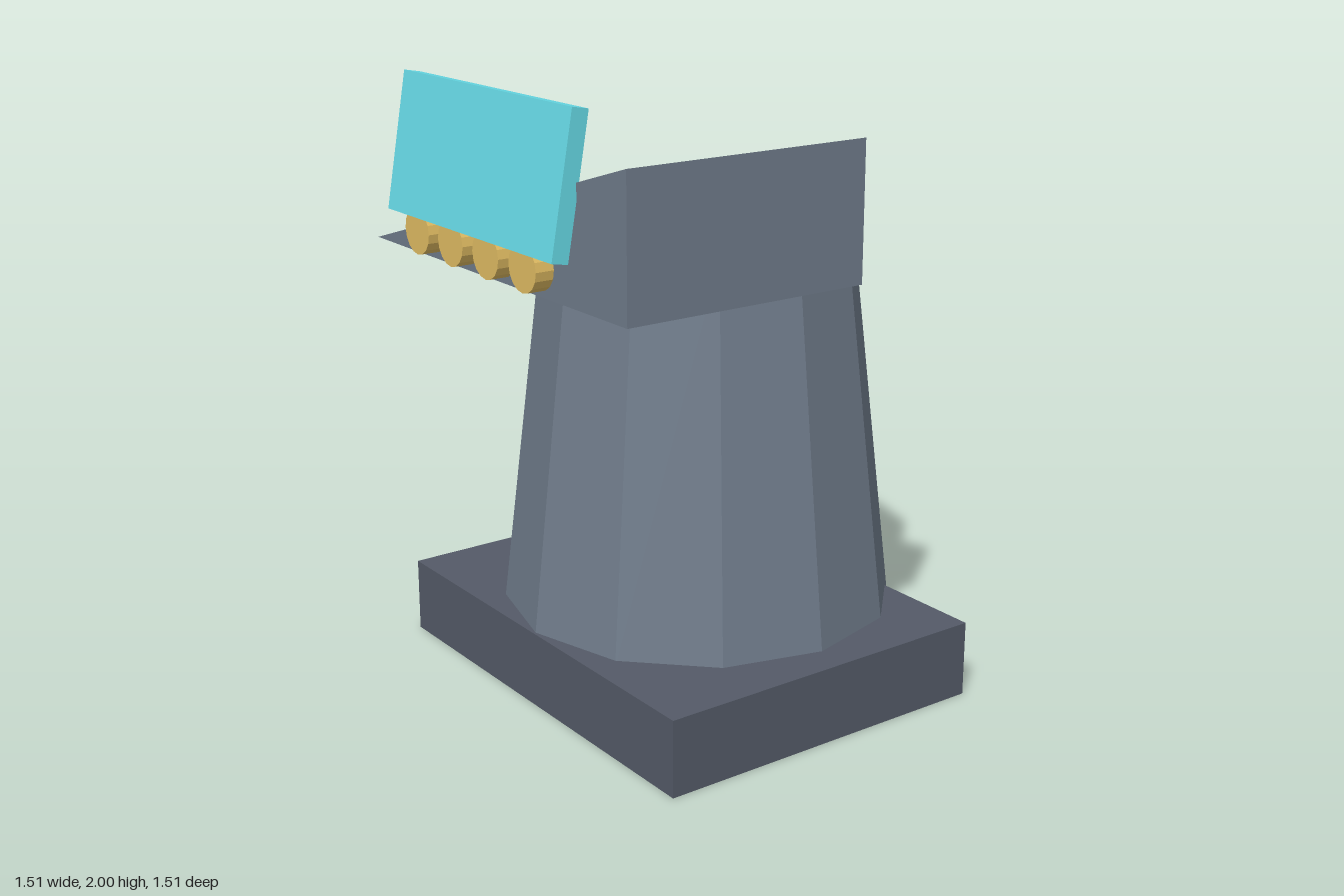
import * as THREE from 'three';

const paint = (color) => new THREE.MeshStandardMaterial({ color, flatShading: true });

export function createModel() {
  const model = new THREE.Group();
  model.name = 'tower';
  const darkGrey = paint(0x545a67);
  const slate = paint(0x6f7b8a);
  const cyan = paint(0x66d9e5);
  const gold = paint(0xe0bc62);

  const add = (name, geometry, material, x, y, z, parent = model) => {
    const mesh = new THREE.Mesh(geometry, material);
    mesh.name = name;
    mesh.position.set(x, y, z);
    parent.add(mesh);
    return mesh;
  };

  // Square plinth
  add('base', new THREE.BoxGeometry(1.51, 0.25, 1.17), darkGrey, 0, 0.125, -0.035);

  // Twelve-sided tapering shaft, overhanging the plinth at the back
  add('shaft', new THREE.CylinderGeometry(0.5, 0.65, 1.28, 12), slate, 0, 0.86, -0.105);

  // Sloping wedge roof, rising towards +x
  const profile = new THREE.Shape([
    new THREE.Vector2(-0.71, 0),
    new THREE.Vector2(0.71, 0),
    new THREE.Vector2(0.71, 0.435),
  ]);
  const wedge = new THREE.ExtrudeGeometry(profile, { depth: 0.84, bevelEnabled: false });
  add('roof', wedge, slate, 0, 1.43, -0.17);

  // Sign panel leaning back
  const panel = add('signPanel', new THREE.BoxGeometry(0.94, 0.432, 0.055), cyan, 0, 1.7825, 0.69);
  panel.rotation.x = THREE.MathUtils.degToRad(-10);

  // Row of round lamps under the panel
  const lamps = new THREE.Group();
  lamps.name = 'lamps';
  model.add(lamps);
  const lampGeometry = new THREE.CylinderGeometry(0.073, 0.073, 0.06, 16).rotateX(Math.PI / 2);
  for (let i = 0; i < 4; i++) {
    add('lamp', lampGeometry, gold, (i - 1.5) * 0.202, 1.53, 0.717, lamps);
  }

  return model;
}
